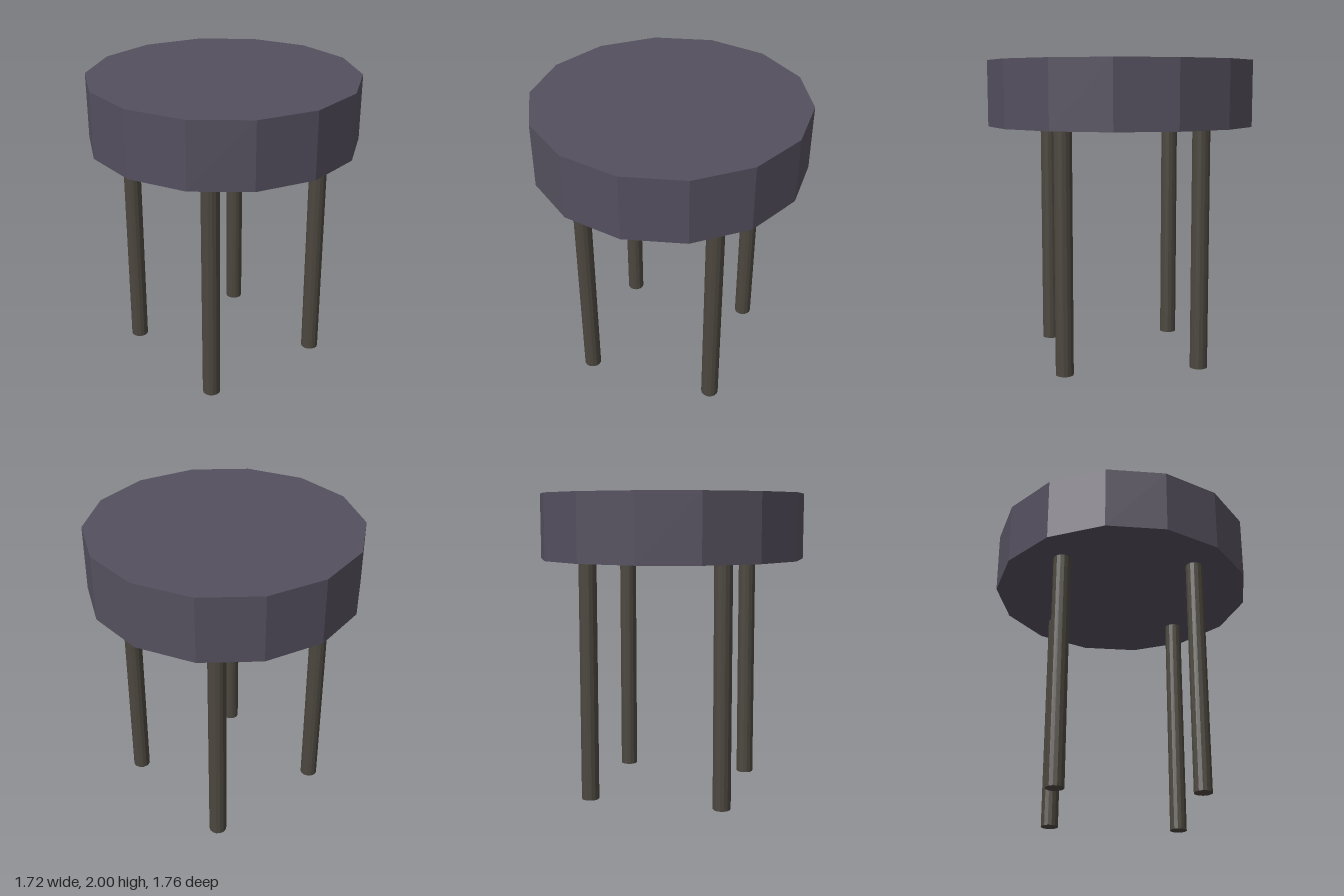
import * as THREE from 'three';

const SEAT_BOTTOM = 1.57;
const SIDES = 14;

export function createModel() {
  const stool = new THREE.Group();
  stool.name = 'stool';

  const cushionFabric = new THREE.MeshStandardMaterial({ color: 0x544f5e, flatShading: true });
  cushionFabric.name = 'cushion fabric';
  const darkWood = new THREE.MeshStandardMaterial({ color: 0x4c473f, flatShading: true });
  darkWood.name = 'dark wood';

  // Thick faceted seat, with a corner pointing to the front
  const seatHeight = 2 - SEAT_BOTTOM;
  const seat = new THREE.Mesh(new THREE.CylinderGeometry(0.882, 0.882, seatHeight, SIDES), cushionFabric);
  seat.name = 'seat';
  seat.position.y = SEAT_BOTTOM + seatHeight / 2;
  stool.add(seat);

  // Four straight round legs set in a square
  const legGeometry = new THREE.CylinderGeometry(0.058, 0.058, SEAT_BOTTOM, SIDES);
  for (const [sz, end] of [[1, 'front'], [-1, 'back']]) {
    for (const [sx, side] of [[1, 'Left'], [-1, 'Right']]) {
      const leg = new THREE.Mesh(legGeometry, darkWood);
      leg.name = `${end}${side}Leg`;
      leg.position.set(sx * 0.442, SEAT_BOTTOM / 2, sz * 0.442);
      stool.add(leg);
    }
  }
  return stool;
}
